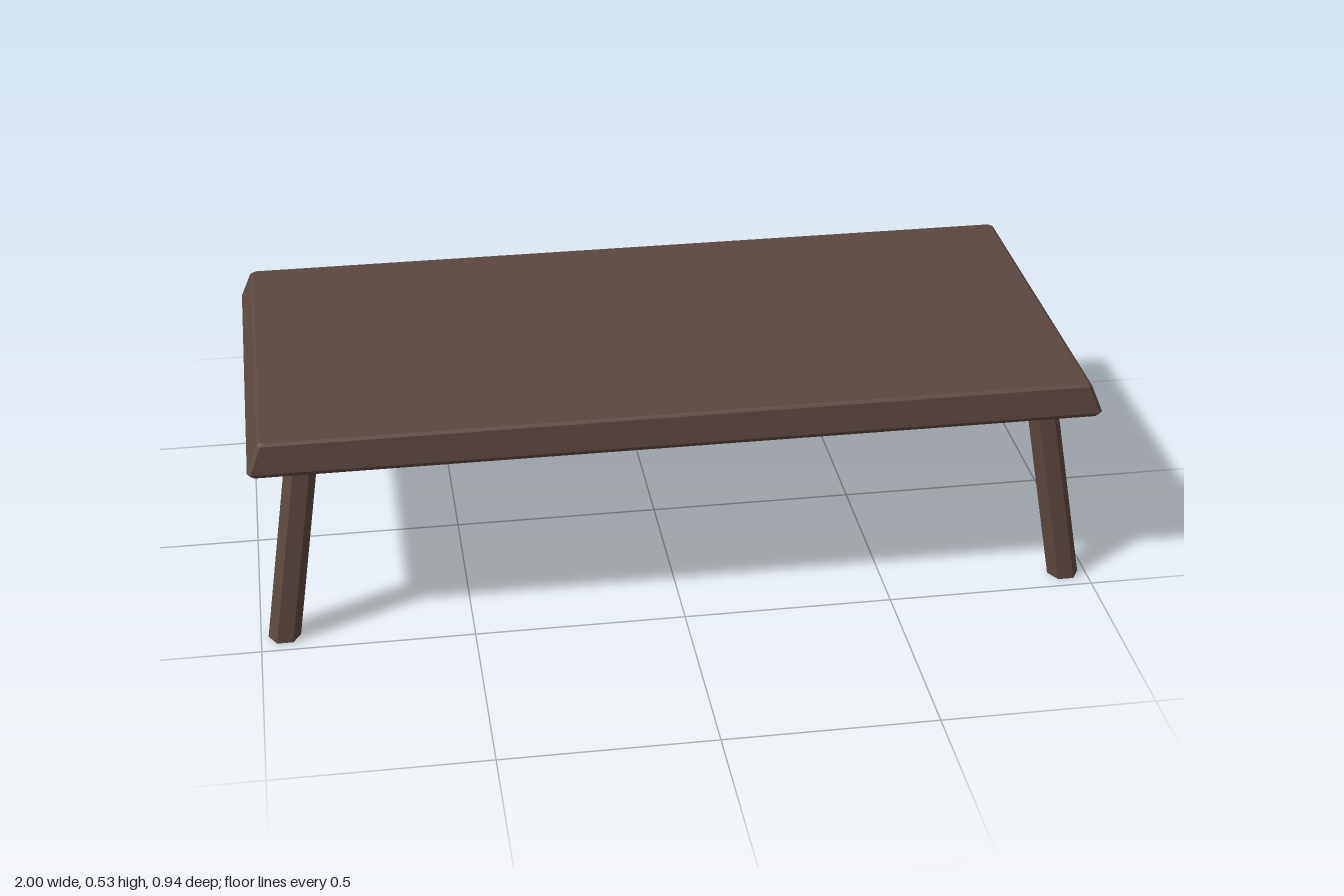
import * as THREE from 'three';

const wood = new THREE.MeshStandardMaterial({ color: 0x5c4740 });
wood.name = 'darkWood';

// Rectangle with clipped corners, counter-clockwise seen from above
function ring([y, hx, hz, c]) {
  return [
    [hx, hz - c], [hx, -hz + c], [hx - c, -hz], [-hx + c, -hz],
    [-hx, -hz + c], [-hx, hz - c], [-hx + c, hz], [hx - c, hz],
  ].map(([x, z]) => new THREE.Vector3(x, y, z));
}

// Flat-faced solid through a stack of rings, closed at both ends
function loft(sections) {
  const rings = sections.map(ring);
  const points = [];
  const n = rings[0].length;
  for (let r = 0; r < rings.length - 1; r++) {
    const a = rings[r], b = rings[r + 1];
    for (let i = 0; i < n; i++) {
      const j = (i + 1) % n;
      points.push(a[i], a[j], b[j], a[i], b[j], b[i]);
    }
  }
  const bottom = rings[0], top = rings[rings.length - 1];
  for (let i = 1; i < n - 1; i++) {
    points.push(top[0], top[i], top[i + 1]);
    points.push(bottom[0], bottom[i + 1], bottom[i]);
  }
  const geometry = new THREE.BufferGeometry().setFromPoints(points);
  geometry.computeVertexNormals();
  return geometry;
}

// Hexagonal leg, sheared so that it splays out while its ends stay level
function legGeometry(sx, sz) {
  const height = 0.455, foot = [0.945, 0.438], head = [0.875, 0.383];
  const geometry = new THREE.CylinderGeometry(0.038, 0.038, height, 6, 1, false, Math.PI / 2);
  geometry.translate(0, height / 2, 0);
  const p = geometry.attributes.position;
  for (let i = 0; i < p.count; i++) {
    const t = p.getY(i) / height;
    p.setX(i, p.getX(i) + sx * THREE.MathUtils.lerp(foot[0], head[0], t));
    p.setZ(i, p.getZ(i) + sz * THREE.MathUtils.lerp(foot[1], head[1], t));
  }
  const flat = geometry.toNonIndexed();
  flat.computeVertexNormals();
  return flat;
}

export function createModel() {
  const table = new THREE.Group();
  table.name = 'lowTable';

  // Top: small lower bevel, sloping sides, small upper bevel
  const tableTop = new THREE.Mesh(loft([
    [0.446, 0.992, 0.464, 0.008],
    [0.456, 1.0, 0.469, 0.008],
    [0.521, 0.974, 0.457, 0.008],
    [0.527, 0.966, 0.45, 0.006],
  ]), wood);
  tableTop.name = 'tableTop';
  table.add(tableTop);

  // Four splayed legs
  for (const sx of [-1, 1]) {
    for (const sz of [-1, 1]) {
      const leg = new THREE.Mesh(legGeometry(sx, sz), wood);
      leg.name = (sz > 0 ? 'front' : 'back') + (sx > 0 ? 'Left' : 'Right') + 'Leg';
      table.add(leg);
    }
  }
  return table;
}
